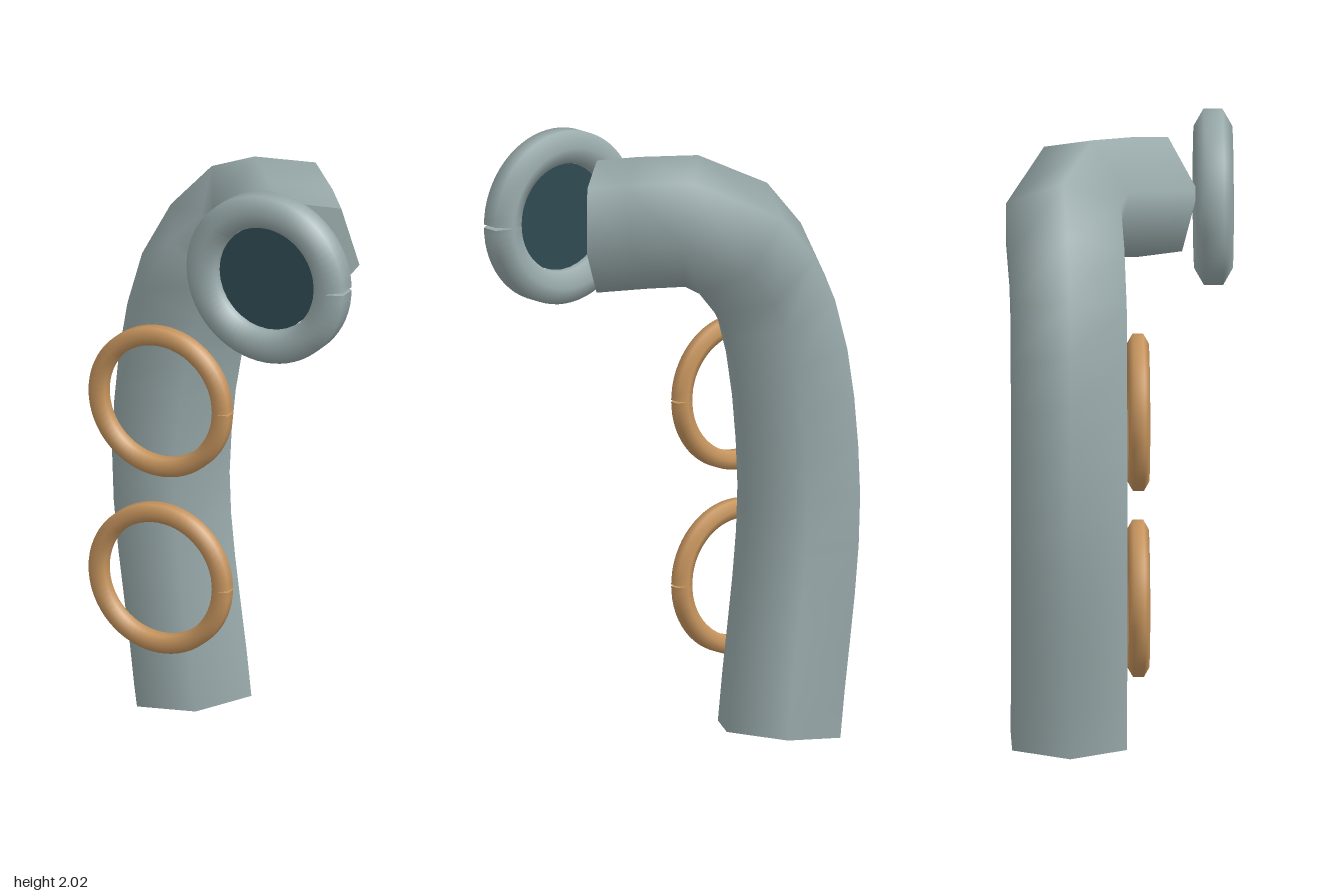
import * as THREE from 'three';

const V = (x, y, z) => new THREE.Vector3(x, y, z);

const grey = new THREE.MeshStandardMaterial({ color: 0x9aabac });
grey.name = 'steel grey';
const bronze = new THREE.MeshStandardMaterial({ color: 0xc8965f });
bronze.name = 'bronze';
const glass = new THREE.MeshStandardMaterial({ color: 0x2f4a52 });
glass.name = 'dark glass';

// Six-sided tube along a curve, closed by flat hexagonal ends
function cappedTube(name, curve, segments, radius, material) {
  const group = new THREE.Group();
  group.name = name;
  const body = new THREE.Mesh(new THREE.TubeGeometry(curve, segments, radius, 6, false), material);
  body.name = name + 'Body';
  group.add(body);
  const frames = curve.computeFrenetFrames(segments, false);
  for (const [i, side] of [[0, -1], [segments, 1]]) {
    const cap = new THREE.CircleGeometry(radius, 6);
    const basis = new THREE.Matrix4().makeBasis(
      frames.normals[i],
      frames.binormals[i].clone().multiplyScalar(side),
      frames.tangents[i].clone().multiplyScalar(side)
    );
    basis.setPosition(curve.getPointAt(i / segments));
    const mesh = new THREE.Mesh(cap.applyMatrix4(basis), material);
    mesh.name = name + (side < 0 ? 'StartCap' : 'EndCap');
    group.add(mesh);
  }
  return group;
}

// Split ring facing the front, with its hairline gap on the +x side
function ring(name, centre, ringRadius, tubeRadius, material) {
  const points = [];
  for (let i = 0; i <= 32; i++) {
    const a = (i / 32) * Math.PI * 2;
    points.push(V(Math.cos(a) * ringRadius, Math.sin(a) * ringRadius, 0));
  }
  const group = cappedTube(name, new THREE.CatmullRomCurve3(points), 64, tubeRadius, material);
  group.position.copy(centre);
  return group;
}

export function createModel() {
  const model = new THREE.Group();
  model.name = 'periscopePipe';

  // Bent pipe, turned so that its edges start at the sides
  const path = new THREE.CatmullRomCurve3([
    V(-0.265, 0, -0.163),
    V(-0.345, 0.85, -0.163),
    V(-0.225, 1.48, -0.163),
    V(0.01, 1.73, -0.155),
    V(0.27, 1.712, 0.122),
  ]);
  const baseFrames = path.computeFrenetFrames.bind(path);
  path.computeFrenetFrames = (segments, closed) => {
    const f = baseFrames(segments, closed);
    return { tangents: f.tangents, normals: f.binormals, binormals: f.normals.map((n) => n.negate()) };
  };
  model.add(cappedTube('pipe', path, 14, 0.2175, grey));

  // Eyepiece: rim and glass
  const eye = V(0.27, 1.712, 0.322);
  model.add(ring('lensRim', eye, 0.235, 0.0625, grey));
  const lens = new THREE.Mesh(new THREE.CylinderGeometry(0.178, 0.178, 0.02, 32).rotateX(Math.PI / 2), glass);
  lens.name = 'lens';
  lens.position.copy(eye);
  model.add(lens);

  // Two rings on the front of the pipe
  [0.475, 1.095].forEach((y, i) => {
    model.add(ring(i ? 'upperRing' : 'lowerRing', V(-0.265, y, 0.064), 0.228, 0.035, bronze));
  });

  return model;
}
